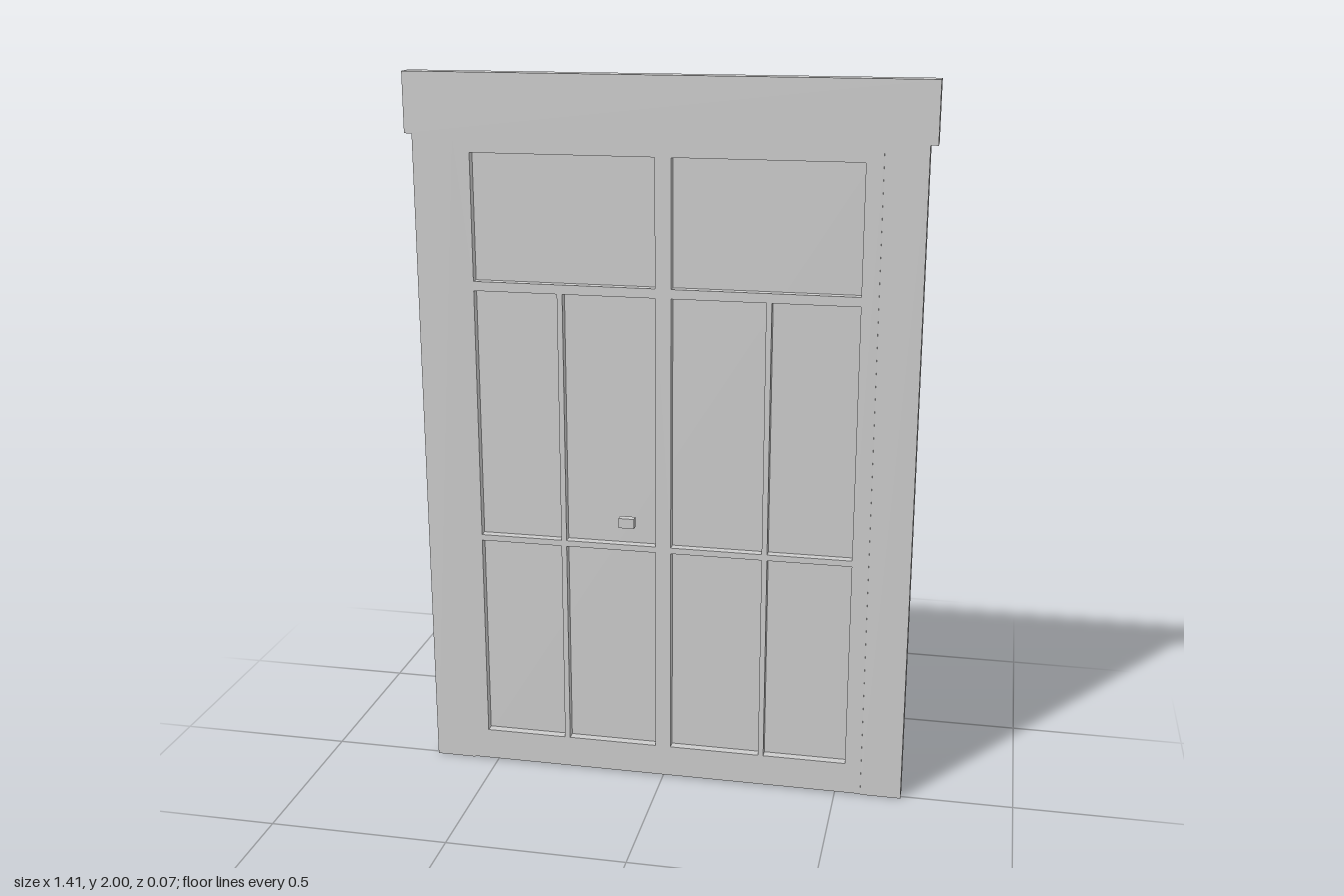
import * as THREE from 'three';

const material = new THREE.MeshStandardMaterial({ color: 0xcccccc, flatShading: true });

// Box given by its min and max corners
function box(name, [x0, y0, z0], [x1, y1, z1]) {
  const mesh = new THREE.Mesh(new THREE.BoxGeometry(x1 - x0, y1 - y0, z1 - z0), material);
  mesh.name = name;
  mesh.position.set((x0 + x1) / 2, (y0 + y1) / 2, (z0 + z1) / 2);
  return mesh;
}

function rectangle(PathType, x0, y0, x1, y1) {
  const path = new PathType();
  path.moveTo(x0, y0);
  path.lineTo(x1, y0);
  path.lineTo(x1, y1);
  path.lineTo(x0, y1);
  path.closePath();
  return path;
}

export function createModel() {
  const group = new THREE.Group();
  group.name = 'panelledDoor';

  const back = -0.037, front = 0.015;     // overall frame depth
  const panelBack = -0.02, panelFront = -0.01;
  const headerBottom = 1.837, doorBottom = 0.004, doorHalf = 0.573;

  // Frame: two posts, set slightly behind the header's face
  for (const side of [-1, 1]) {
    const [a, b] = [side * doorHalf, side * 0.687].sort((p, q) => p - q);
    group.add(box(side > 0 ? 'leftPost' : 'rightPost', [a, 0, back], [b, headerBottom, front - 0.003]));
  }
  group.add(box('header', [-0.707, headerBottom, back], [0.707, 2, front]));

  // Door grid: a slab pierced by ten openings, mirrored about the middle
  const slab = rectangle(THREE.Shape, -doorHalf, doorBottom, doorHalf, headerBottom);
  const openings = [[0.022, 1.442, 0.527, 1.79]];
  for (const [y0, y1] of [[0.095, 0.692], [0.709, 1.416]]) {
    openings.push([0.022, y0, 0.278, y1], [0.293, y0, 0.527, y1]);
  }
  for (const [x0, y0, x1, y1] of openings) {
    slab.holes.push(rectangle(THREE.Path, x0, y0, x1, y1));
    slab.holes.push(rectangle(THREE.Path, -x1, y0, -x0, y1));
  }
  const grid = new THREE.Mesh(
    new THREE.ExtrudeGeometry(slab, { depth: front - panelFront, bevelEnabled: false }), material);
  grid.name = 'doorGrid';
  grid.position.z = panelFront;
  group.add(grid);

  // Flat panel behind the openings, recessed from the back of the frame
  group.add(box('backPanel', [-doorHalf, doorBottom, panelBack], [doorHalf, headerBottom, panelFront]));

  // Handle
  group.add(box('handle', [-0.122, 0.766, front], [-0.078, 0.794, 0.037]));

  return group;
}
